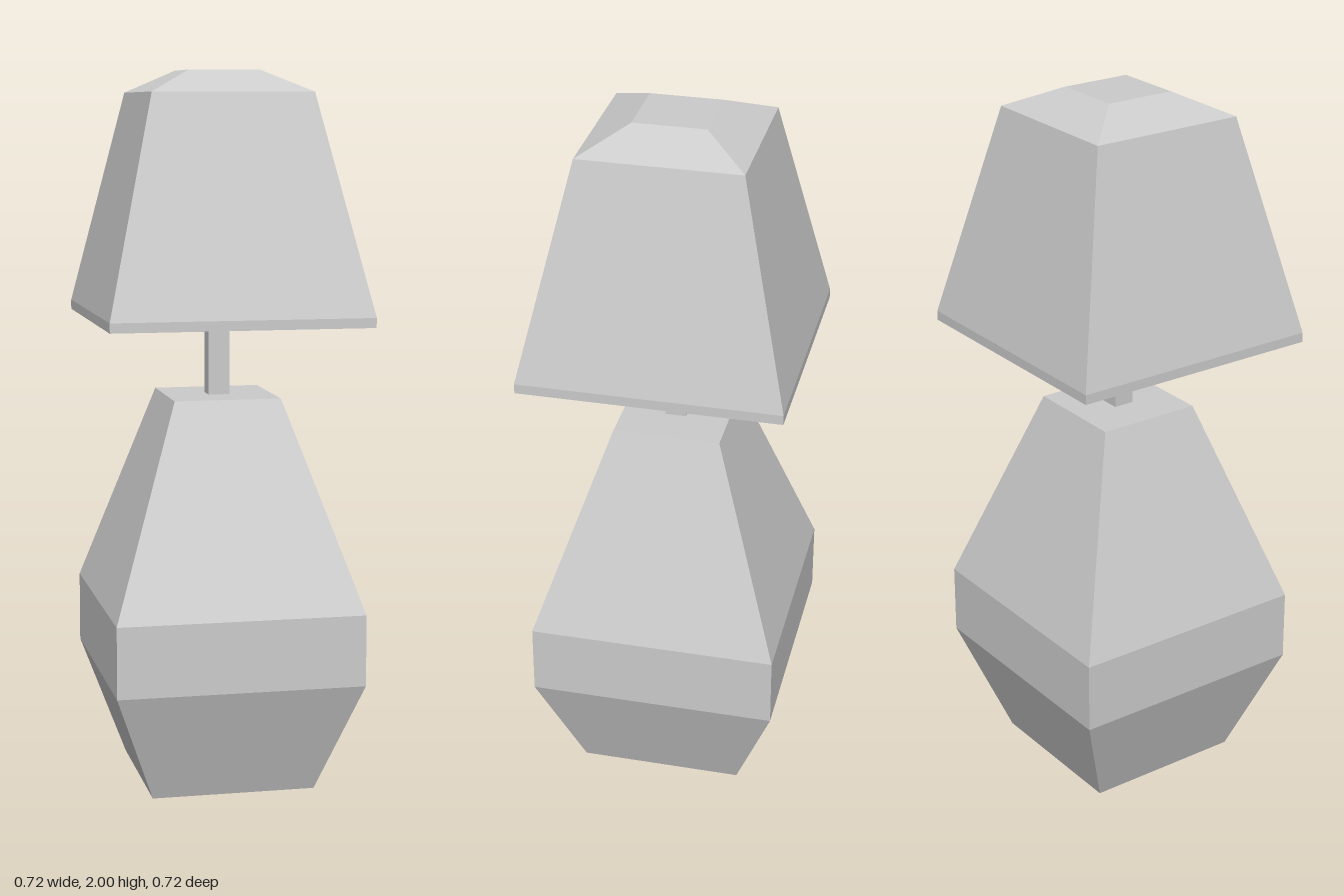
import * as THREE from 'three';

const material = new THREE.MeshStandardMaterial({ color: 0xcccccc, flatShading: true, side: THREE.DoubleSide });

// Square solid from a profile of [half width, height] pairs: a four-sided lathe turned 45 degrees.
function squareTurned(name, profile) {
  const points = profile.map(([half, y]) => new THREE.Vector2(half * Math.SQRT2, y));
  const geometry = new THREE.LatheGeometry(points, 4, Math.PI / 4).toNonIndexed();
  geometry.computeVertexNormals();
  const mesh = new THREE.Mesh(geometry, material);
  mesh.name = name;
  return mesh;
}

export function createModel() {
  const lamp = new THREE.Group();
  lamp.name = 'tableLamp';

  // Faceted vase-like base
  lamp.add(squareTurned('base', [
    [0, 0], [0.23, 0], [0.347, 0.32], [0.347, 0.52], [0.15, 1.1], [0, 1.1],
  ]));

  // Square stem running up into the shade
  lamp.add(squareTurned('stem', [
    [0, 1.09], [0.03, 1.09], [0.03, 1.72], [0, 1.72],
  ]));

  // Shade: hollow underside, short vertical lip, tapered walls and bevelled top
  lamp.add(squareTurned('shade', [
    [0, 1.71], [0.25, 1.71], [0.362, 1.313], [0.362, 1.34], [0.223, 1.94], [0.1, 2], [0, 2],
  ]));

  return lamp;
}
